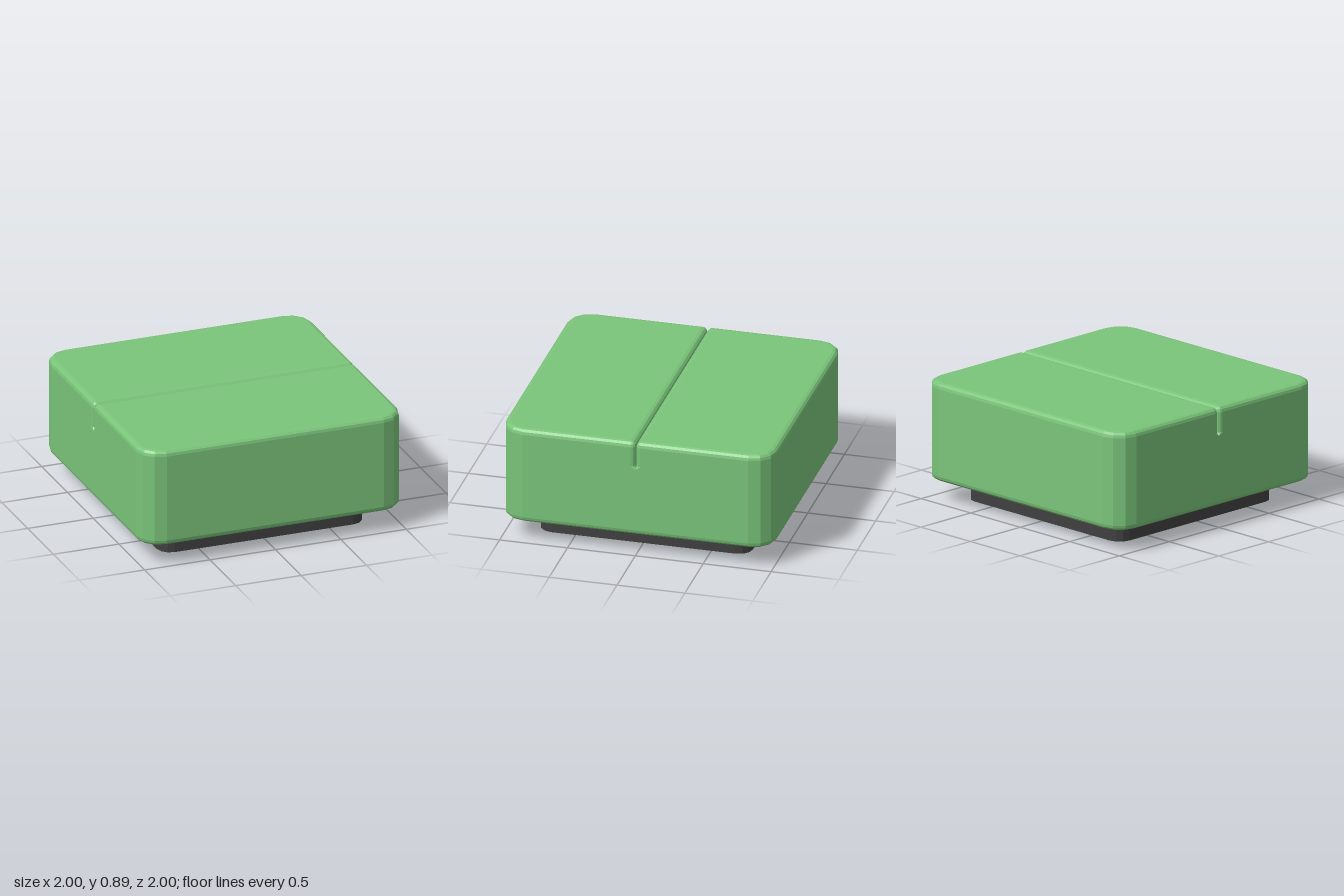
import * as THREE from 'three';

const SEG = 3;
const BEVEL = 0.04;

// Rounded rectangle in x/z, counterclockwise from above, with separate front and back corner radii
function outline(x, zBack, zFront, rBack, rFront, inset) {
  const pts = [];
  const corners = [[1, zBack, rBack], [-1, zBack, rBack], [-1, zFront, rFront], [1, zFront, rFront]];
  corners.forEach(([sx, z, radius], q) => {
    const sz = q < 2 ? -1 : 1;
    const r = Math.max(radius - inset, 0.001);
    const cx = sx * (x - inset - r);
    const cz = z - sz * (inset + r);
    for (let k = 0; k <= SEG; k++) {
      const a = (q + k / SEG) * Math.PI / 2;
      pts.push([cx + r * Math.cos(a), cz - r * Math.sin(a)]);
    }
  });
  return pts;
}

// Skins a stack of equal-length outlines [y, points], with optional end caps
function loft(levels, capBottom, capTop) {
  const n = levels[0][1].length;
  const pos = [];
  const idx = [];
  levels.forEach(([y, pts]) => pts.forEach(([x, z]) => pos.push(x, y, z)));
  for (let i = 0; i < levels.length - 1; i++) {
    for (let j = 0; j < n; j++) {
      const a = i * n + j, b = i * n + (j + 1) % n;
      idx.push(a, b, b + n, a, b + n, a + n);
    }
  }
  const top = (levels.length - 1) * n;
  for (let j = 1; j < n - 1; j++) {
    if (capBottom) idx.push(0, j + 1, j);
    if (capTop) idx.push(top, top + j, top + j + 1);
  }
  const g = new THREE.BufferGeometry();
  g.setAttribute('position', new THREE.Float32BufferAttribute(pos, 3));
  g.setIndex(idx);
  g.computeVertexNormals();
  return g;
}

export function createModel() {
  const model = new THREE.Group();
  const green = new THREE.MeshStandardMaterial({ color: 0x7ac47a, flatShading: true });
  const dark = new THREE.MeshStandardMaterial({ color: 0x404040, flatShading: true });
  const add = (name, geometry, material) => {
    const mesh = new THREE.Mesh(geometry, material);
    mesh.name = name;
    model.add(mesh);
    return mesh;
  };
  const arc = Array.from({ length: SEG + 1 }, (_, k) => k / SEG * Math.PI / 2);

  // Recessed plinth
  const plinth = outline(0.78, -0.78, 0.78, 0.1, 0.1, 0);
  add('plinth', loft([[0, plinth], [0.17, plinth]], true, true), dark);

  // Lower body with a rounded bottom edge
  const full = (inset) => outline(1, -1, 1, 0.17, 0.17, inset);
  const lower = arc.map((a) => [0.16 + BEVEL * (1 - Math.sin(a)), full(BEVEL * (1 - Math.cos(a)))]).reverse();
  lower.push([0.68, full(0)]);
  add('lowerBody', loft(lower, true, false), green);

  // Two cushion halves meeting at z = 0; their rounded edges form the groove
  const half = (seamRadius, inset) => outline(1, 0, 1, seamRadius, 0.17, inset);
  const upper = [[0.68, half(0, 0)], [0.7, half(0.035, 0)]];
  arc.forEach((a) => upper.push([0.85 + BEVEL * Math.sin(a), half(0.035, BEVEL * (1 - Math.cos(a)))]));
  const halfGeometry = loft(upper, false, true);
  add('frontHalf', halfGeometry, green);
  add('backHalf', halfGeometry, green).rotation.y = Math.PI;

  return model;
}
